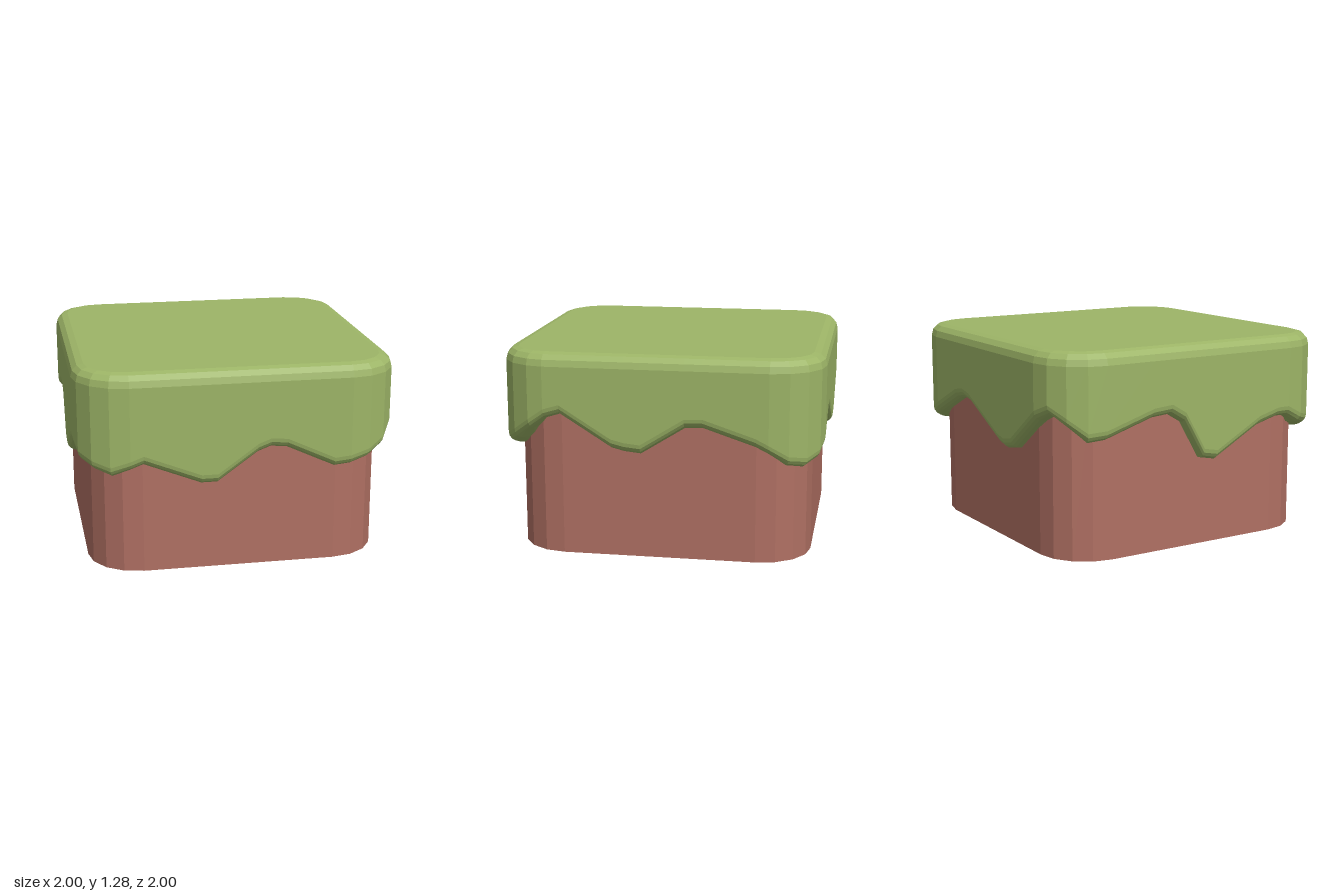
import * as THREE from 'three';

// Points of one side and its leading corner, as [along, across] before rotation
const rotate = (u, v, k) => [[u, v], [v, -u], [-u, -v], [-v, u]][k];

// Outline point with its outward direction on a rounded square
function outlinePoint(u, k, half, radius) {
  const c = half - radius;
  const over = Math.sign(u) * Math.max(0, Math.abs(u) - c);
  const rise = Math.sqrt(Math.max(0, radius * radius - over * over));
  const [x, z] = rotate(u, c + rise, k);
  const [nx, nz] = rotate(over / radius, rise / radius, k);
  return { x, z, nx, nz };
}

// Skin rings listed from bottom to top; each ring is an array of [x, y, z]
function loft(rings, closeBottom, closeTop) {
  const n = rings[0].length;
  const positions = rings.flat(2);
  const index = [];
  for (let i = 0; i < rings.length - 1; i++) {
    for (let j = 0; j < n; j++) {
      const a = i * n + j, b = i * n + (j + 1) % n;
      index.push(a, b, b + n, a, b + n, a + n);
    }
  }
  const cap = (ring, flip) => {
    const base = ring * n, centre = positions.length / 3;
    positions.push(0, rings[ring][0][1], 0);
    for (let j = 0; j < n; j++) {
      const a = base + j, b = base + (j + 1) % n;
      if (flip) index.push(centre, b, a);
      else index.push(centre, a, b);
    }
  };
  if (closeBottom) cap(0, true);
  if (closeTop) cap(rings.length - 1, false);
  const g = new THREE.BufferGeometry();
  g.setAttribute('position', new THREE.Float32BufferAttribute(positions, 3));
  g.setIndex(index);
  const flat = g.toNonIndexed();
  flat.computeVertexNormals();
  return flat;
}

function addPart(group, name, geometry, color, side = THREE.FrontSide) {
  const mesh = new THREE.Mesh(geometry, new THREE.MeshStandardMaterial({ color, flatShading: true, side }));
  mesh.name = name;
  group.add(mesh);
}

// Height of the dripping edge along each side: [position, y]
const drips = [
  // front
  [[-0.906, 0.67], [-0.8, 0.64], [-0.68, 0.68], [-0.6, 0.71], [-0.25, 0.57], [-0.15, 0.57],
    [0.1, 0.75], [0.18, 0.78], [0.28, 0.77], [0.58, 0.63], [0.68, 0.64], [0.8, 0.67]],
  // +x side
  [[-0.906, 0.72], [-0.8, 0.8], [-0.7, 0.87], [-0.6, 0.9], [-0.28, 0.7], [-0.2, 0.68],
    [-0.1, 0.67], [0.17, 0.84], [0.28, 0.845], [0.6, 0.74], [0.68, 0.7], [0.8, 0.63]],
  // back
  [[-0.906, 0.61], [-0.8, 0.64], [-0.68, 0.69], [-0.4, 0.82], [-0.3, 0.84], [-0.2, 0.82],
    [0.2, 0.63], [0.28, 0.61], [0.38, 0.63], [0.68, 0.85], [0.8, 0.9]],
  // -x side
  [[-0.906, 0.83], [-0.8, 0.74], [-0.68, 0.75], [-0.35, 0.85], [-0.22, 0.86], [-0.12, 0.8],
    [0.02, 0.56], [0.12, 0.54], [0.45, 0.72], [0.6, 0.76], [0.68, 0.76], [0.8, 0.7]],
];

export function createModel() {
  const group = new THREE.Group();
  group.name = 'drippingBlock';

  // Earth block: rounded square prism
  const bodyLine = [0, 1, 2, 3].flatMap((k) =>
    [-0.826, -0.722, -0.6, 0.6, 0.722].map((u) => outlinePoint(u, k, 0.92, 0.32)));
  const bodyRings = [0, 1.15].map((y) => bodyLine.map((p) => [p.x, y, p.z]));
  addPart(group, 'body', loft(bodyRings, true, true), 0xb07063);

  // Grass cap: curled drip edge, straight wall, rounded rim, flat top
  const capLine = drips.flatMap((side, k) =>
    side.map(([u, edge]) => ({ ...outlinePoint(u, k, 1, 0.32), edge })));
  const r = 0.065, rim = 0.08, top = 1.28;
  const ring = (inset, height) =>
    capLine.map((p) => [p.x - p.nx * inset, height(p), p.z - p.nz * inset]);
  const capRings = [ring(0.14, (p) => p.edge)];
  for (let i = 0; i <= 4; i++) {
    const a = (i / 4) * Math.PI / 2;
    capRings.push(ring(r * (1 - Math.sin(a)), (p) => p.edge + r * (1 - Math.cos(a))));
  }
  for (let i = 0; i <= 3; i++) {
    const a = (i / 3) * Math.PI / 2;
    capRings.push(ring(rim * (1 - Math.cos(a)), () => top - rim * (1 - Math.sin(a))));
  }
  addPart(group, 'grassCap', loft(capRings, false, true), 0x9db567, THREE.DoubleSide);

  return group;
}
